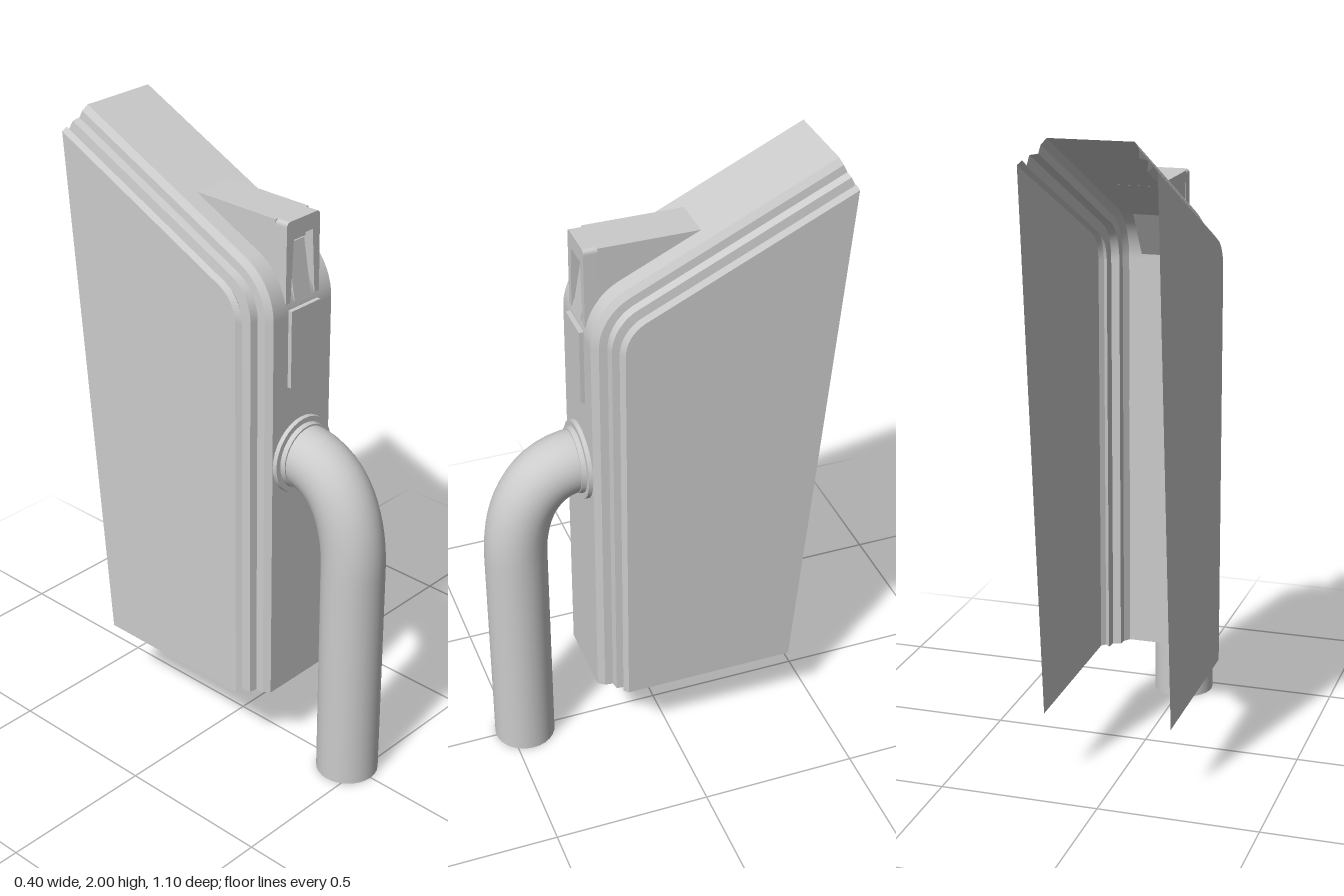
import * as THREE from 'three';

const mat = new THREE.MeshStandardMaterial({ color: 0xcccccc, side: THREE.DoubleSide });

// Outer edge of the casing in the (z, y) plane, with inward normals
const FRONT = 0.235, BOTTOM = 0.24, RADIUS = 0.19, STEPS = 10;
const TURN = THREE.MathUtils.degToRad(64.6);
const cornerY = 1.647 - RADIUS * Math.tan(TURN / 2);

function casingPath() {
  const path = [{ z: FRONT, y: BOTTOM, nz: -1, ny: 0 }];
  for (let i = 0; i <= STEPS; i++) {
    const a = (TURN * i) / STEPS, c = Math.cos(a), s = Math.sin(a);
    path.push({ z: FRONT - RADIUS + RADIUS * c, y: cornerY + RADIUS * s, nz: -c, ny: -s });
  }
  path.push({ z: -0.51, y: 2, nz: -Math.cos(TURN), ny: -Math.sin(TURN) });
  return path;
}

// Sweep one straight piece of the cross-section, [x, depth] to [x, depth]
function sweepStrip(path, a, b) {
  const pos = [], idx = [];
  path.forEach((p, i) => {
    for (const [x, d] of [a, b]) pos.push(x, p.y + p.ny * d, p.z + p.nz * d);
    if (i) {
      const k = 2 * i;
      idx.push(k - 2, k - 1, k, k - 1, k + 1, k);
    }
  });
  const g = new THREE.BufferGeometry();
  g.setAttribute('position', new THREE.Float32BufferAttribute(pos, 3));
  g.setIndex(idx);
  g.computeVertexNormals();
  return g;
}

// Turn a shape drawn in (z, y) so that its depth runs along x
const toSide = (g) => g.rotateY(-Math.PI / 2);

function shapeOf(points) {
  return new THREE.Shape(points.map(([x, y]) => new THREE.Vector2(x, y)));
}

export function createModel() {
  const model = new THREE.Group();
  const add = (name, geometry, parent = model) => {
    const m = new THREE.Mesh(geometry, mat);
    m.name = name;
    parent.add(m);
    return m;
  };

  // Stepped front and top of the casing, open at the back and below
  const path = casingPath();
  const half = [[0.2, 0.08], [0.187, 0.066], [0.172, 0.082], [0.168, 0.05],
    [0.143, 0.045], [0.14, 0.02], [0.125, 0]];
  const section = [...half.map(([x, d]) => [-x, d]), ...[...half].reverse()];
  const casing = new THREE.Group();
  casing.name = 'casing';
  model.add(casing);
  for (let i = 1; i < section.length; i++) {
    add('casingStrip', sweepStrip(path, section[i - 1], section[i]), casing);
  }

  // Flat side panels
  const edge = path.map((p) => [p.z + p.nz * 0.08, p.y + p.ny * 0.08]);
  edge.push([-0.4, BOTTOM]);
  for (const side of [-1, 1]) {
    const panel = add(side > 0 ? 'leftPanel' : 'rightPanel',
      toSide(new THREE.ShapeGeometry(shapeOf(edge))));
    panel.position.x = side * 0.2;
  }

  // Raised housing running back into the sloping top
  const housing = new THREE.Group();
  housing.name = 'housing';
  model.add(housing);
  const bodyShape = shapeOf([[0.19, 1.55], [0.19, 1.815], [-0.12, 1.815], [0.1, 1.69]]);
  const body = toSide(new THREE.ExtrudeGeometry(bodyShape, { depth: 0.14, bevelEnabled: false }));
  add('housingBody', body.translate(0.07, 0, 0), housing);

  // Housing front with a tapered recess
  const frame = new THREE.Shape();
  frame.moveTo(-0.072, 1.565);
  frame.lineTo(-0.052, 1.565);
  frame.lineTo(-0.04, 1.765);
  frame.lineTo(0.04, 1.765);
  frame.lineTo(0.052, 1.565);
  frame.lineTo(0.072, 1.565);
  frame.lineTo(0.07, 1.8);
  frame.quadraticCurveTo(0.07, 1.815, 0.055, 1.815);
  frame.lineTo(-0.055, 1.815);
  frame.quadraticCurveTo(-0.07, 1.815, -0.07, 1.8);
  const frameGeo = new THREE.ExtrudeGeometry(frame, { depth: 0.043, bevelEnabled: false });
  add('housingFrame', frameGeo.translate(0, 0, 0.19), housing);

  // Sloping plug and dark slot inside the recess
  const plug = new THREE.ExtrudeGeometry(
    shapeOf([[0.19, 1.565], [0.234, 1.565], [0.205, 1.735], [0.19, 1.735]]),
    { depth: 0.07, bevelEnabled: false });
  add('recessPlug', toSide(plug).translate(0.035, 0, 0), housing);
  add('recessBar', new THREE.BoxGeometry(0.07, 0.014, 0.02).translate(0, 1.748, 0.2), housing);

  // Small plate below the housing
  add('frontPlate', new THREE.BoxGeometry(0.124, 0.246, 0.02).translate(0, 1.422, 0.238));

  // Stepped collar where the pipe enters
  const collar = new THREE.CylinderGeometry(0.122, 0.125, 0.02, 32).rotateX(Math.PI / 2);
  add('collar', collar.translate(0, 1.055, 0.238));
  const lip = new THREE.CylinderGeometry(0.102, 0.106, 0.02, 32).rotateX(Math.PI / 2);
  add('collarLip', lip.translate(0, 1.055, 0.253));

  // Open pipe bending down to the floor
  const v = (y, z) => new THREE.Vector3(0, y, z);
  const route = new THREE.CurvePath();
  route.add(new THREE.LineCurve3(v(0, 0.452), v(0.74, 0.452)));
  route.add(new THREE.CubicBezierCurve3(v(0.74, 0.452), v(0.94, 0.452), v(1.055, 0.37), v(1.055, 0.24)));
  add('pipe', new THREE.TubeGeometry(route, 40, 0.098, 28));

  return model;
}
